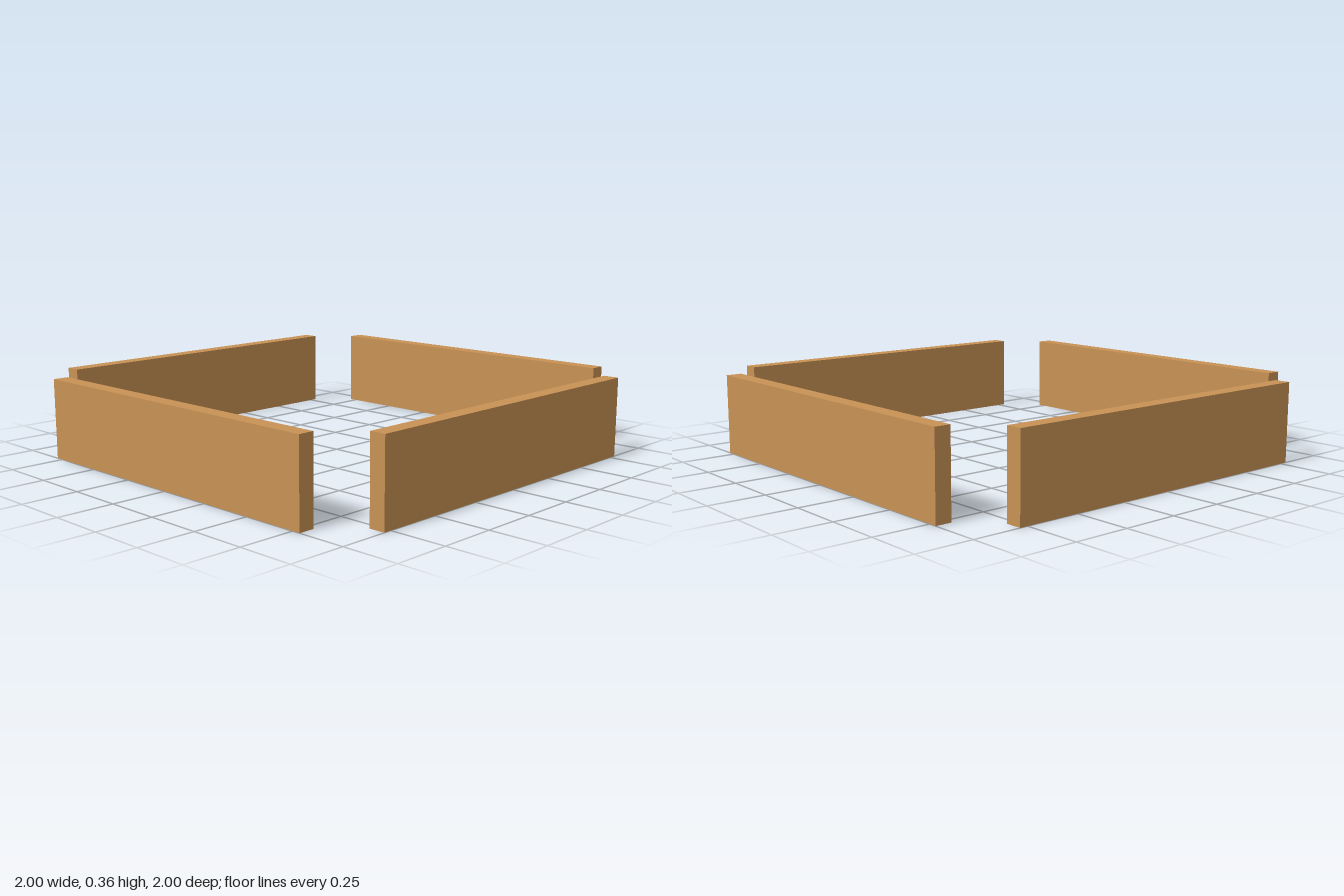
import * as THREE from 'three';

const LENGTH = 1.571, HEIGHT = 0.363, THICKNESS = 0.0715;

export function createModel() {
  const model = new THREE.Group();
  model.name = 'boardFrame';
  const wood = new THREE.MeshStandardMaterial({ color: 0xc89254 });
  wood.name = 'wood';

  // Four identical upright boards around an open square, with gaps at the corners
  const board = new THREE.BoxGeometry(LENGTH, HEIGHT, THICKNESS);
  board.translate(0, HEIGHT / 2, 1 - THICKNESS / 2);
  ['frontBoard', 'leftBoard', 'backBoard', 'rightBoard'].forEach((name, i) => {
    const mesh = new THREE.Mesh(board, wood);
    mesh.name = name;
    mesh.rotation.y = i * Math.PI / 2;
    model.add(mesh);
  });
  return model;
}
